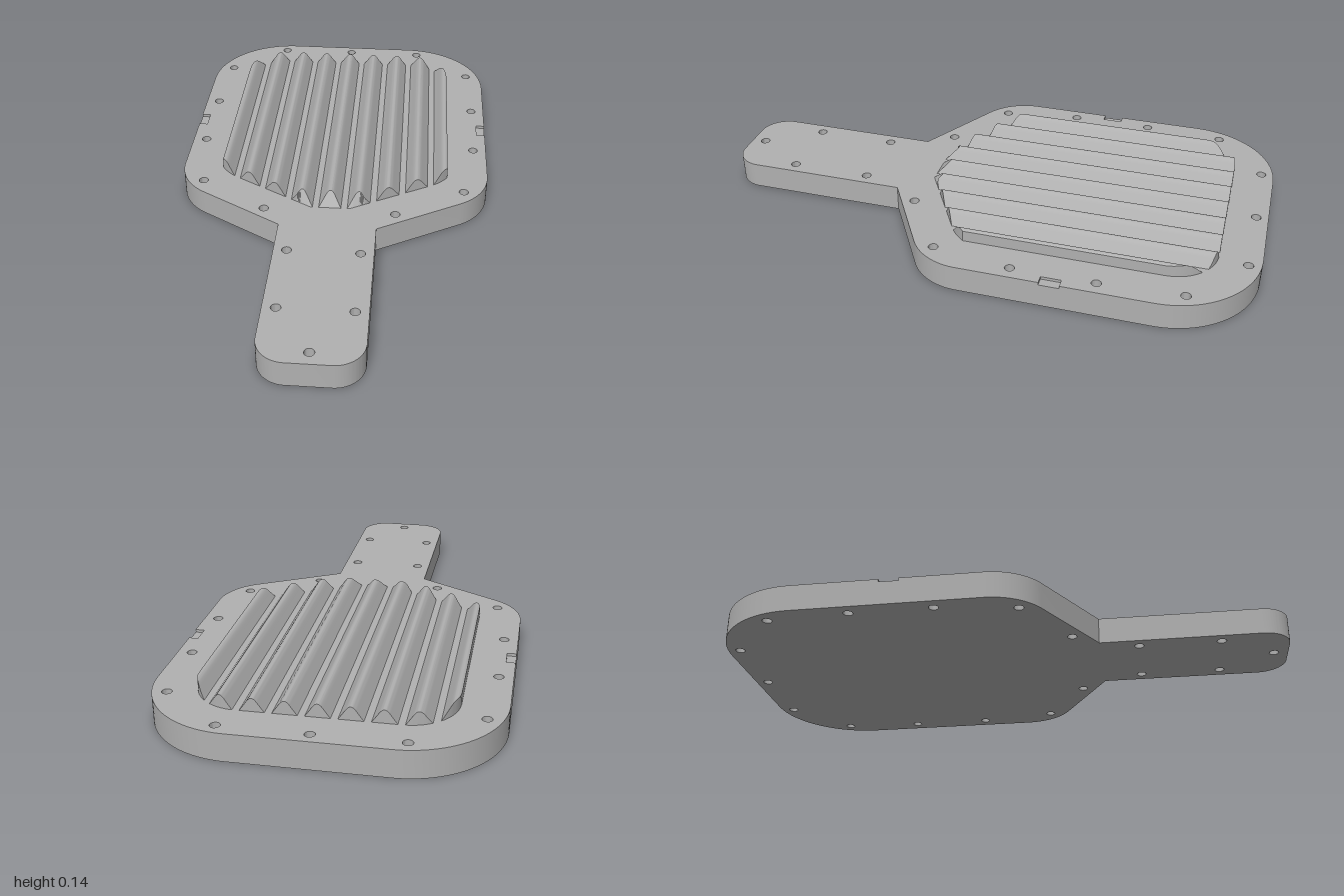
import * as THREE from 'three';
import { toCreasedNormals } from 'three/addons/utils/BufferGeometryUtils.js';

const TOP = 0.095;        // top face of the plate
const NOTCH = 0.01;       // depth of the side notches
const PITCH = 0.1025;     // spacing of the ridges
const EDGE = 0.42;        // half width of the ridged field

const grey = new THREE.MeshStandardMaterial({ color: 0xb0b0b0 });
grey.name = 'grey';

// Paddle outline in x and z, with screw holes and optional edge notches
function outline(notched) {
  const s = new THREE.Shape();
  const notch = (side, zs) => {
    if (!notched) return;
    const [a, b] = zs;
    s.lineTo(side * 0.57, a);
    s.lineTo(side * 0.538, a);
    s.lineTo(side * 0.538, b);
    s.lineTo(side * 0.57, b);
  };
  const r = 0.32, q = 0.207, t = Math.PI / 3;
  s.moveTo(-0.25, -1);
  s.absarc(0.25, -1 + r, r, -Math.PI / 2, 0);
  notch(1, [-0.375, -0.305]);
  s.absarc(0.57 - q, -0.02, q, 0, t);
  s.lineTo(0.172, 0.33);
  s.absarc(0.072, 0.9, 0.1, 0, Math.PI / 2);
  s.absarc(-0.072, 0.9, 0.1, Math.PI / 2, Math.PI);
  s.lineTo(-0.172, 0.33);
  s.absarc(-0.57 + q, -0.02, q, Math.PI - t, Math.PI);
  notch(-1, [-0.305, -0.375]);
  s.absarc(-0.25, -1 + r, r, Math.PI, Math.PI * 1.5);

  const hole = (x, z) => {
    const p = new THREE.Path();
    p.absarc(x, z, 0.017, 0, Math.PI * 2, true);
    s.holes.push(p);
  };
  hole(0, -0.957);
  hole(0, 0.95);
  const pairs = [[0.29, -0.954], [0.505, -0.775], [0.521, -0.487], [0.521, -0.195],
    [0.48, 0.085], [0.235, 0.24], [0.126, 0.47], [0.126, 0.76]];
  for (const [x, z] of pairs) for (const side of [-1, 1]) hole(side * x, z);
  return s;
}

function slab(name, shape, top, depth) {
  const g = new THREE.ExtrudeGeometry(shape, { depth, bevelEnabled: false, curveSegments: 16 });
  g.rotateX(Math.PI / 2).translate(0, top, 0);
  const mesh = new THREE.Mesh(toCreasedNormals(g, 0.5), grey);
  mesh.name = name;
  return mesh;
}

// Half profile of a ridge: distance from the crest line and height
const PROFILE = [[0, 0.045], [0.004, 0.0443], [0.008, 0.042], [0.012, 0.0382],
  [0.017, 0.032], [0.024, 0.022], [0.032, 0.0108], [0.04, 0]];

function ridgeHeight(d) {
  for (let i = 1; i < PROFILE.length; i++) {
    const [d0, h0] = PROFILE[i - 1], [d1, h1] = PROFILE[i];
    if (d <= d1) return h0 + (h1 - h0) * (d - d0) / (d1 - d0);
  }
  return 0;
}

// Back limit of the ridged field, with rounded corners
function backLimit(x) {
  const d = Math.max(0, Math.abs(x) - 0.26);
  return -0.695 - Math.sqrt(Math.max(0, 0.0256 - d * d)) - (d >= 0.16 ? 0.03 : 0);
}

// Front limit: flat in the middle, slanted to the sides, rounded at the ends
function frontLimit(x) {
  const a = Math.abs(x), d = Math.max(0, a - 0.36);
  return Math.min(0.22, 0.26 - 0.57 * a) - d * d * 6;
}

// One ridge: cross-sections along x, each a front-bottom, front-top, back-top, back-bottom loop
function ridgeGeometry(center) {
  const offsets = [...PROFILE.slice(1).map(p => -p[0]).reverse(), ...PROFILE.map(p => p[0])];
  const xs = [...new Set(offsets.map(o => THREE.MathUtils.clamp(center + o, -EDGE, EDGE)))];
  const pos = [], index = [];
  for (const x of xs) {
    const h = ridgeHeight(Math.abs(x - center));
    const f = frontLimit(x), b = backLimit(x);
    const slope = Math.min(f, 0.22 - h);   // sloped front end
    pos.push(x, TOP, f, x, TOP + h, slope, x, TOP + h, b, x, TOP, b);
  }
  const n = xs.length;
  for (let i = 0; i < n - 1; i++) {
    for (let k = 0; k < 3; k++) {
      const a = i * 4 + k, b = a + 4;
      index.push(a, b, b + 1, a, b + 1, a + 1);
    }
  }
  const e = (n - 1) * 4;
  index.push(0, 1, 2, 0, 2, 3, e, e + 2, e + 1, e, e + 3, e + 2);
  const g = new THREE.BufferGeometry();
  g.setAttribute('position', new THREE.Float32BufferAttribute(pos, 3));
  g.setIndex(index);
  return toCreasedNormals(g, 0.5);
}

export function createModel() {
  const model = new THREE.Group();
  model.name = 'ridgedPaddle';

  // Plate: lower slab and a thin notched upper layer
  model.add(slab('plateBase', outline(false), TOP - NOTCH, TOP - NOTCH));
  model.add(slab('plateTop', outline(true), TOP, NOTCH));

  // Row of parallel ridges
  const ridges = new THREE.Group();
  ridges.name = 'ridges';
  for (let k = -4; k <= 4; k++) {
    const ridge = new THREE.Mesh(ridgeGeometry(k * PITCH), grey);
    ridge.name = 'ridge';
    ridges.add(ridge);
  }
  model.add(ridges);
  return model;
}
